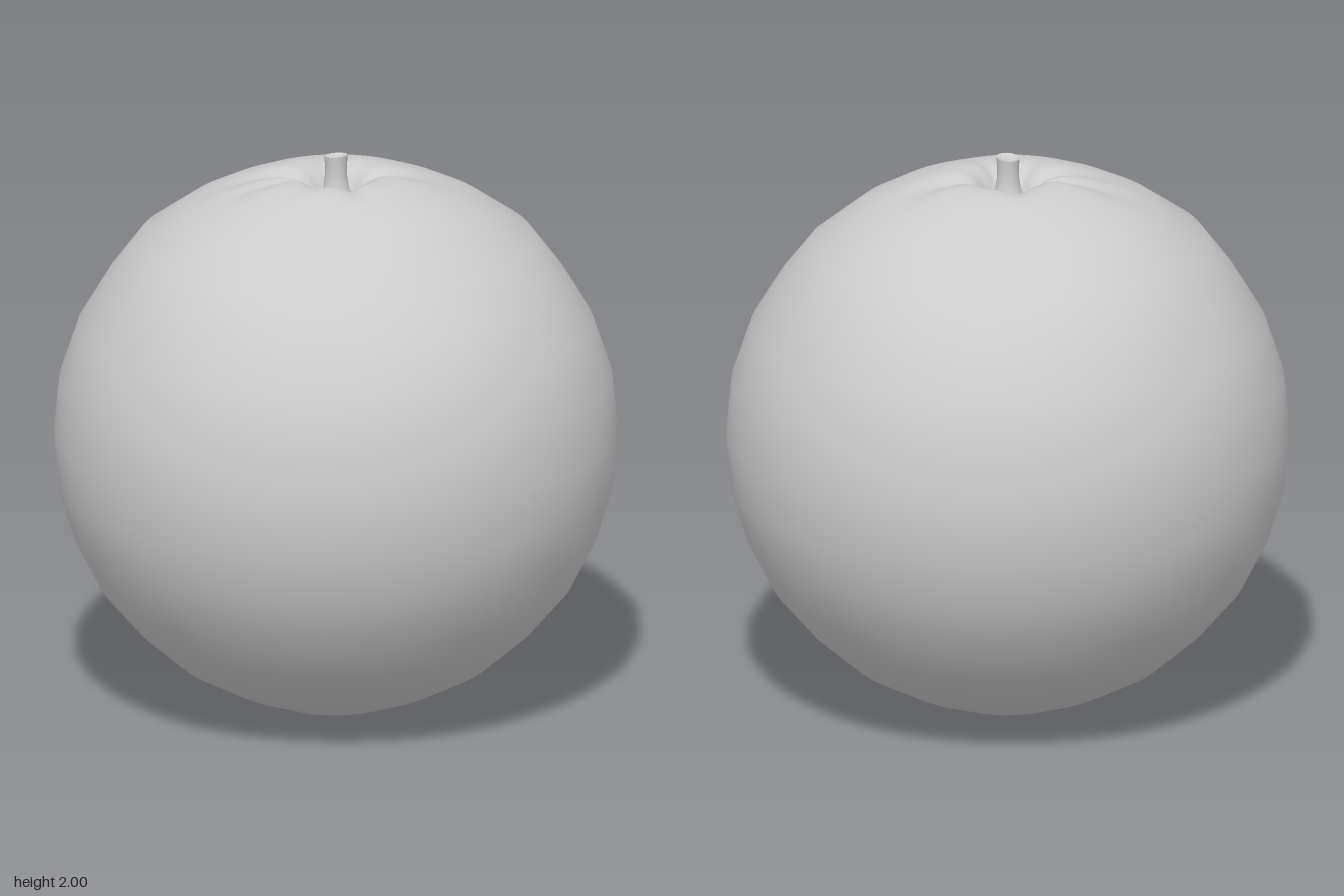
import * as THREE from 'three';
import { mergeVertices, toCreasedNormals } from 'three/addons/utils/BufferGeometryUtils.js';

// Lathe with the seam welded; the rule moves each vertex before normals are rebuilt
function turned(profile, segments, rule) {
  let geo = new THREE.LatheGeometry(profile.map(([r, y]) => new THREE.Vector2(r, y)), segments);
  geo.deleteAttribute('uv');
  geo.deleteAttribute('normal');
  const p = geo.attributes.position;
  const v = new THREE.Vector3();
  for (let i = 0; i < p.count; i++) {
    rule(v.fromBufferAttribute(p, i));
    p.setXYZ(i, v.x, v.y, v.z);
  }
  geo = mergeVertices(geo, 1e-4);
  geo.computeVertexNormals();
  return geo;
}

// Creases running out from the stem: direction (x, z), depth, length, angular width
const creases = [
  [0.17, -0.30, 0.028, 0.48, 0.20],
  [-0.36, 0.33, 0.030, 0.55, 0.17],
  [-0.18, 0.40, 0.028, 0.50, 0.16],
  [-0.25, -0.13, 0.016, 0.30, 0.28],
  [0.30, 0.10, 0.020, 0.36, 0.22],
  [0.10, 0.30, 0.010, 0.30, 0.20],
];

function shapeFruit(v) {
  const r = Math.hypot(v.x, v.z);
  if (v.y > 1.2 && r > 0.01) {
    const angle = Math.atan2(v.x, v.z);
    for (const [cx, cz, depth, length, width] of creases) {
      let d = angle - Math.atan2(cx, cz);
      d = Math.atan2(Math.sin(d), Math.cos(d));
      const fade = THREE.MathUtils.smoothstep(r, 0.04, 0.12) * (1 - THREE.MathUtils.smoothstep(r, 0.14, length));
      v.y -= depth * fade * Math.exp(-((d / width) ** 2));
    }
    // slightly flattened shoulder on the left side
    const q = ((v.x - 0.67) ** 2 + (v.y - 1.71) ** 2) / 0.02 + (v.z / 0.5) ** 2;
    const push = 0.03 * Math.exp(-q);
    v.x -= push * 0.7;
    v.y -= push * 0.7;
  }
  v.x *= 0.985;
}

export function createModel() {
  const group = new THREE.Group();
  const grey = new THREE.MeshStandardMaterial({ color: 0xcccccc });
  grey.name = 'plain grey';

  // Round fruit body, with a dimple under the stem
  const profile = [
    [0, 0.005], [0.10, 0.005], [0.22, 0.03], [0.38, 0.09], [0.55, 0.18], [0.70, 0.31],
    [0.825, 0.455], [0.915, 0.63], [0.97, 0.81], [0.985, 1.0], [0.965, 1.2], [0.90, 1.39],
    [0.80, 1.555], [0.69, 1.70], [0.53, 1.81], [0.42, 1.863], [0.31, 1.905], [0.24, 1.925],
    [0.18, 1.932], [0.14, 1.922], [0.11, 1.902], [0.085, 1.868], [0.07, 1.843], [0, 1.835],
  ];
  const fruit = new THREE.Mesh(turned(profile, 64, shapeFruit), grey);
  fruit.name = 'fruit';
  group.add(fruit);

  // Short stem, flared at its foot, with a slightly hollow cut end
  const stemProfile = [
    [0.078, 1.84], [0.058, 1.855], [0.045, 1.88], [0.039, 1.92], [0.038, 1.96],
    [0.041, 1.996], [0.028, 1.99], [0, 1.984],
  ];
  const stemGeo = turned(stemProfile, 20, (v) => {
    if (v.y > 1.95) v.y += v.x * 0.1;
  });
  const stem = new THREE.Mesh(toCreasedNormals(stemGeo, 0.9), grey);
  stem.name = 'stem';
  group.add(stem);

  return group;
}
